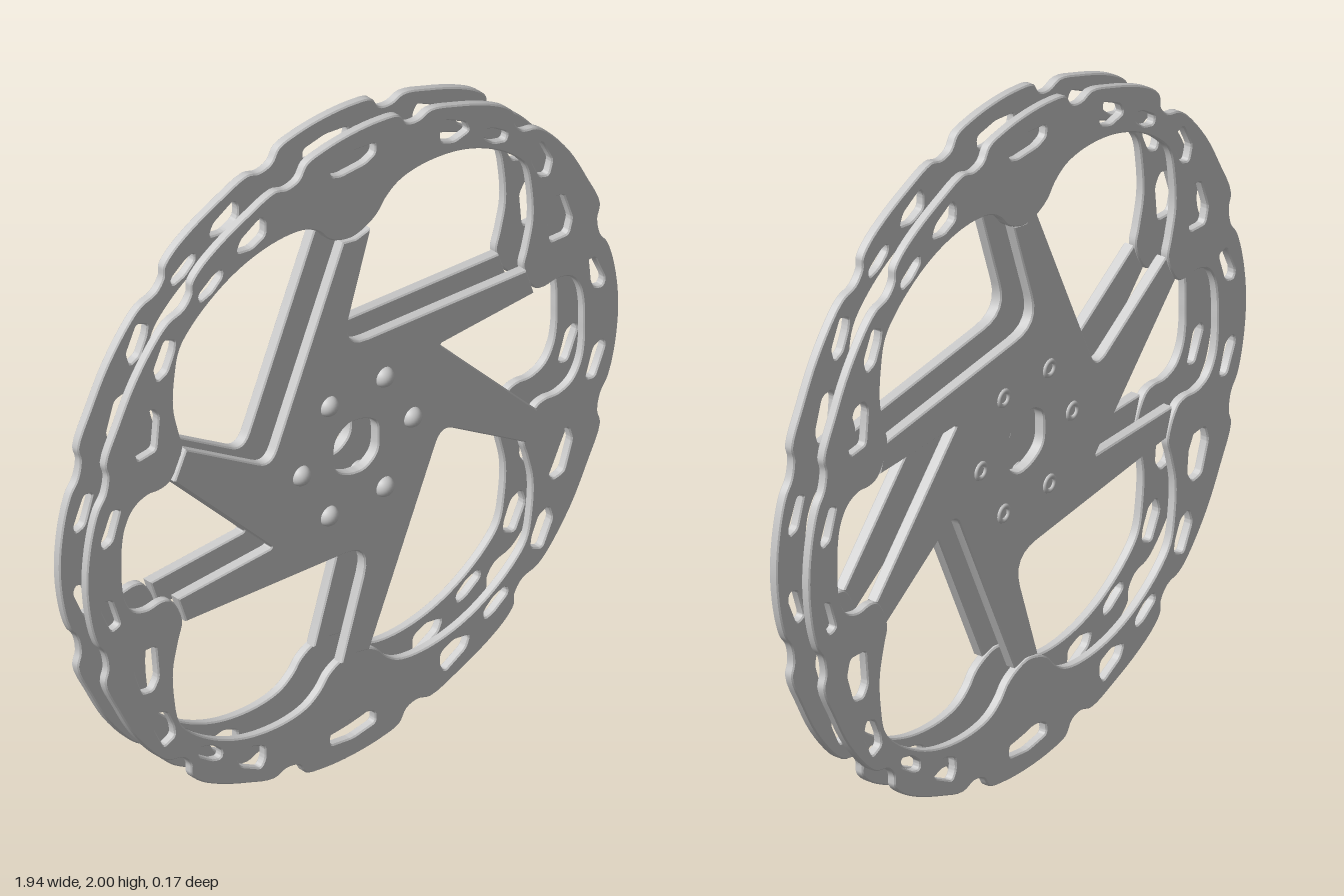
import * as THREE from 'three';
import { toCreasedNormals } from 'three/addons/utils/BufferGeometryUtils.js';

// Smooth closed outline through [x, y] points
function smooth(points, perSpan = 4) {
  const curve = new THREE.CatmullRomCurve3(points.map(([x, y]) => new THREE.Vector3(x, y, 0)), true, 'centripetal');
  return curve.getPoints(points.length * perSpan).slice(0, -1).map((p) => new THREE.Vector2(p.x, p.y));
}

// Mirror a quadrant (from the +y axis round to the +x axis) into a full loop
function fourWay(q) {
  const lower = q.slice(0, -1).reverse().map(([x, y]) => [x, -y]);
  const right = [...q, ...lower];
  const left = right.slice(1, -1).reverse().map(([x, y]) => [-x, y]);
  return [...right, ...left];
}

// Closed polygon with rounded corners; each point is [x, y, radius]
function rounded(points) {
  const v = points.map(([x, y]) => new THREE.Vector2(x, y));
  const n = v.length;
  const out = [];
  points.forEach(([, , r = 0], i) => {
    const c = v[i];
    if (!r) return out.push(c);
    const a = v[(i + n - 1) % n].clone().sub(c).setLength(r).add(c);
    const b = v[(i + 1) % n].clone().sub(c).setLength(r).add(c);
    out.push(...new THREE.QuadraticBezierCurve(a, c, b).getPoints(6));
  });
  return out;
}

// Order a loop clockwise or anticlockwise so that its walls face outwards
function wind(loop, clockwise) {
  return THREE.ShapeUtils.isClockWise(loop) === clockwise ? loop : [...loop].reverse();
}

// Flat plate between two depths with a small edge bevel
function plate(outline, holes, z0, z1, bevel = 0.004) {
  const shape = new THREE.Shape(wind(outline, false));
  holes.forEach((h) => shape.holes.push(new THREE.Path(wind(h, true))));
  const geo = new THREE.ExtrudeGeometry(shape, {
    depth: z1 - z0 - 2 * bevel, bevelEnabled: true, bevelThickness: bevel,
    bevelSize: bevel, bevelOffset: -bevel, bevelSegments: 1,
  });
  geo.translate(0, 0, z0 + bevel);
  return toCreasedNormals(geo, 0.6);
}

// Scalloped outer edge, one quadrant
const OUTER = [
  [0, 1], [0.105, 0.993], [0.17, 0.977], [0.197, 0.94], [0.24, 0.93], [0.285, 0.942],
  [0.38, 0.912], [0.49, 0.865], [0.56, 0.822], [0.59, 0.788], [0.592, 0.755], [0.62, 0.72],
  [0.67, 0.705], [0.71, 0.675], [0.795, 0.57], [0.857, 0.458], [0.905, 0.352], [0.895, 0.31],
  [0.905, 0.255], [0.932, 0.215], [0.958, 0.13], [0.972, 0],
];

// Inner edge with tabs that meet the arms, one quadrant
const INNER = [
  [0, 0.665], [0.05, 0.677], [0.09, 0.7], [0.12, 0.735], [0.165, 0.765], [0.23, 0.778],
  [0.32, 0.775], [0.41, 0.755], [0.5, 0.715], [0.585, 0.655], [0.632, 0.6], [0.65, 0.52],
  [0.655, 0.42], [0.635, 0.33], [0.622, 0.278], [0.664, 0.193], [0.7, 0.18], [0.75, 0.184],
  [0.8, 0.165], [0.83, 0.12], [0.842, 0.06], [0.843, 0],
];

// Slots mirrored into all four quadrants
const SLOTS = [
  [[0.32, 0.86], [0.335, 0.885], [0.41, 0.845], [0.425, 0.81], [0.37, 0.8], [0.322, 0.82]],
  [[0.48, 0.785], [0.51, 0.778], [0.565, 0.74], [0.56, 0.715], [0.515, 0.728], [0.478, 0.76]],
  [[0.65, 0.635], [0.69, 0.652], [0.728, 0.575], [0.715, 0.532], [0.68, 0.545], [0.655, 0.6]],
  [[0.71, 0.42], [0.73, 0.452], [0.77, 0.445], [0.8, 0.355], [0.787, 0.31], [0.72, 0.315]],
  [[0.85, 0.185], [0.882, 0.193], [0.92, 0.108], [0.913, 0.085], [0.88, 0.095]],
];
const TOP_SLOT = [[-0.082, 0.93], [0, 0.942], [0.082, 0.93], [0.08, 0.895], [0.045, 0.882], [-0.045, 0.882], [-0.08, 0.895]];

// Half of the six-armed carrier; the other half is turned by 180 degrees
const CARRIER = [
  [0.053, 0.675], [0, 0.665], [-0.048, 0.675], [-0.312, 0.08, 0.05], [-0.622, 0.278],
  [-0.664, 0.193], [-0.305, -0.185, 0.012], [-0.65, -0.19], [-0.622, -0.275],
  [0.055, -0.335, 0.1],
];
const HUB_HOLE = [[-0.08, 0.055, 0.03], [-0.03, 0.088, 0.025], [0.03, 0.077, 0.025], [0.08, 0.045, 0.03]];

const turn = (pts) => pts.map(([x, y, r]) => [-x, -y, r]);

export function createModel() {
  const steel = new THREE.MeshStandardMaterial({ color: 0xcccccc });
  steel.name = 'grey steel';

  const slotHoles = [];
  for (const sy of [1, -1]) {
    slotHoles.push(rounded(TOP_SLOT.map(([x, y]) => [x, y * sy, 0.012])));
    for (const sx of [1, -1]) {
      for (const s of SLOTS) slotHoles.push(rounded(s.map(([x, y]) => [x * sx, y * sy, 0.012])));
    }
  }
  const ringGeo = plate(smooth(fourWay(OUTER)), [smooth(fourWay(INNER)), ...slotHoles], 0.021, 0.048);
  const carrierGeo = plate(rounded([...CARRIER, ...turn(CARRIER)]),
    [rounded([...HUB_HOLE, ...turn(HUB_HOLE)])], 0.027, 0.061);

  const headGeo = new THREE.SphereGeometry(0.03, 24, 16);
  const collarGeo = new THREE.TorusGeometry(0.021, 0.007, 8, 24);

  function makeDisc(name) {
    const disc = new THREE.Group();
    disc.name = name;
    const add = (geo, part, x = 0, y = 0, z = 0) => {
      const mesh = new THREE.Mesh(geo, steel);
      mesh.name = part;
      mesh.position.set(x, y, z);
      disc.add(mesh);
    };
    add(ringGeo, 'brakingRing');
    add(carrierGeo, 'carrierArms');
    // Six rivets round the hub
    for (let i = 0; i < 6; i++) {
      const a = (i * Math.PI) / 3;
      const x = 0.203 * Math.cos(a), y = 0.203 * Math.sin(a);
      add(headGeo, 'rivetHead', x, y, 0.057);
      add(collarGeo, 'rivetCollar', x, y, 0.027);
    }
    return disc;
  }

  const model = new THREE.Group();
  model.name = 'twinDiscRotor';
  const front = makeDisc('frontDisc');
  const back = makeDisc('backDisc');
  back.position.z = -0.107;
  model.add(front, back);
  model.children.forEach((d) => { d.position.y = 1; });
  return model;
}
